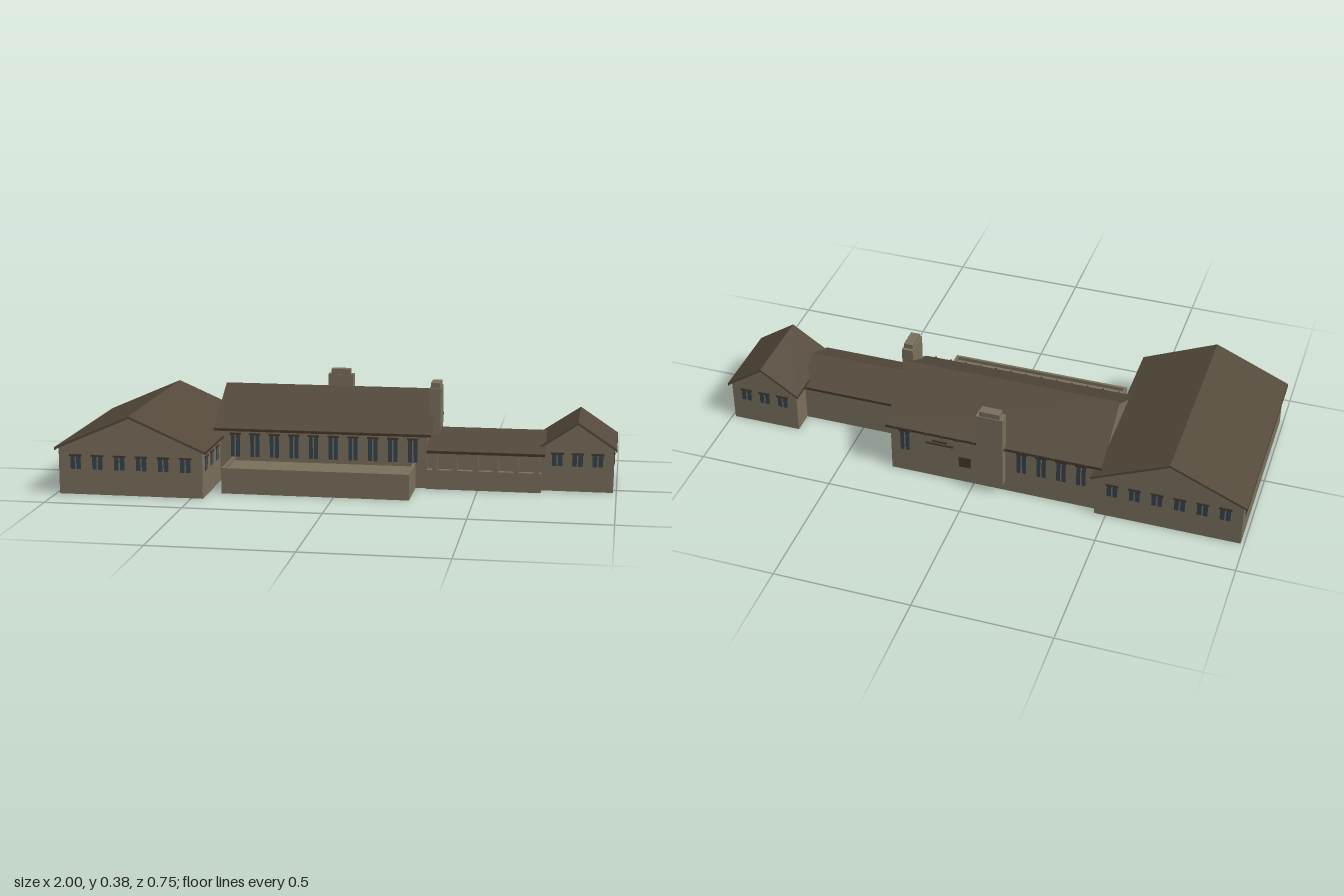
import * as THREE from 'three';

const mat = (name, color, side = THREE.FrontSide) => {
  const m = new THREE.MeshStandardMaterial({ color, side });
  m.name = name;
  return m;
};

export function createModel() {
  const root = new THREE.Group();
  root.name = 'longHouse';
  const wall = mat('stoneWall', 0x7b705d, THREE.DoubleSide);
  const roofMat = mat('roofTile', 0x54493b);
  const trim = mat('darkTrim', 0x44382c);
  const glass = mat('windowGlass', 0x36444e);

  const add = (parent, name, geo, material, x = 0, y = 0, z = 0) => {
    const m = new THREE.Mesh(geo, material);
    m.name = name;
    m.position.set(x, y, z);
    parent.add(m);
    return m;
  };
  // box given by its minimum and maximum corners
  const box = (parent, name, material, x0, x1, y0, y1, z0, z1) =>
    add(parent, name, new THREE.BoxGeometry(x1 - x0, y1 - y0, z1 - z0), material,
      (x0 + x1) / 2, (y0 + y1) / 2, (z0 + z1) / 2);

  // gabled block, ridge along local z; walls are open below
  const T = 0.009;
  function wing({ name, x, z, turn = 0, half, roofHalf, z0, z1, over0, over1, ridge, eave, walls = true }) {
    const g = new THREE.Group();
    g.name = name;
    g.position.set(x, 0, z);
    g.rotation.y = turn;
    root.add(g);
    const slope = (ridge - eave) / roofHalf;
    const top = ridge - T;
    const wallTop = top - slope * half;
    if (walls) {
      const end = new THREE.ShapeGeometry(new THREE.Shape([
        new THREE.Vector2(-half, 0), new THREE.Vector2(half, 0), new THREE.Vector2(half, wallTop),
        new THREE.Vector2(0, top), new THREE.Vector2(-half, wallTop)]));
      add(g, 'gableWall', end, wall, 0, 0, z1);
      add(g, 'gableWall', end, wall, 0, 0, z0).geometry = end.clone().rotateY(Math.PI);
      for (const s of [-1, 1]) {
        add(g, 'sideWall', new THREE.PlaneGeometry(z1 - z0, wallTop).rotateY(s * Math.PI / 2),
          wall, s * half, wallTop / 2, (z0 + z1) / 2);
      }
    }
    // folded roof slab
    const a = z0 - over0, b = z1 + over1;
    const fold = new THREE.Shape([
      new THREE.Vector2(-roofHalf, eave - T), new THREE.Vector2(0, ridge - T),
      new THREE.Vector2(roofHalf, eave - T), new THREE.Vector2(roofHalf, eave),
      new THREE.Vector2(0, ridge), new THREE.Vector2(-roofHalf, eave)]);
    add(g, 'roof', new THREE.ExtrudeGeometry(fold, { depth: b - a, bevelEnabled: false }), roofMat, 0, 0, a);
    // eave boards
    for (const s of [-1, 1]) {
      add(g, 'eaveBoard', new THREE.BoxGeometry(0.004, T, b - a), trim,
        s * (roofHalf - 0.001), eave - T / 2 - 0.001, (a + b) / 2);
    }
    return g;
  }

  // two-pane window with a lintel; angle turns it from facing +z
  function windowAt(x, z, y0, y1, angle = 0, w = 0.038) {
    const g = new THREE.Group();
    g.name = 'window';
    g.position.set(x, 0, z);
    g.rotation.y = angle;
    root.add(g);
    box(g, 'panes', glass, -w / 2, w / 2, y0, y1, -0.002, 0.002);
    box(g, 'mullion', wall, -0.0025, 0.0025, y0, y1, -0.003, 0.003);
    box(g, 'lintel', trim, -w / 2 - 0.004, w / 2 + 0.004, y1 - 0.002, y1 + 0.005, -0.003, 0.005);
  }
  const Q = Math.PI / 2;

  // large west wing
  wing({ name: 'westWing', x: -0.7225, z: 0, half: 0.265, roofHalf: 0.2775, z0: -0.36, z1: 0.36,
    over0: 0.013, over1: 0.013, ridge: 0.294, eave: 0.173 });
  for (let i = 0; i < 6; i++) {
    const x = -0.925 + i * 0.081;
    windowAt(x, 0.36, 0.093, 0.142);
    windowAt(x, -0.36, 0.093, 0.142, Math.PI);
  }
  for (let i = 0; i < 8; i++) {
    const z = 0.3 - i * 0.085;
    windowAt(-0.9875, z, 0.093, 0.142, -Q);
    if (i < 3) windowAt(-0.4575, z, 0.093, 0.142, Q);
  }

  // central hall
  wing({ name: 'hall', x: 0, z: -0.131, turn: Q, half: 0.206, roofHalf: 0.22, z0: -0.46, z1: 0.315,
    over0: 0.017, over1: 0.015, ridge: 0.335, eave: 0.203 });
  for (let i = 0; i < 10; i++) {
    const x = -0.4 + i * 0.0735;
    windowAt(x, 0.075, 0.095, 0.18, 0, 0.034);
    if (x < -0.14 || x > 0.2) windowAt(x, -0.337, 0.095, 0.18, Math.PI, 0.034);
  }
  windowAt(0.315, -0.281, 0.093, 0.18, Q, 0.034);
  // rafter tails under both eaves
  for (let i = 0; i < 13; i++) {
    const x = -0.42 + i * 0.0595;
    box(root, 'rafterTail', trim, x - 0.003, x + 0.003, 0.196, 0.203, 0.073, 0.095);
    box(root, 'rafterTail', trim, x - 0.003, x + 0.003, 0.196, 0.203, -0.359, -0.335);
  }
  // back door and small ledges
  box(root, 'backDoor', trim, 0.01, 0.055, 0.07, 0.112, -0.342, -0.335);
  box(root, 'ledge', trim, 0.075, 0.18, 0.148, 0.154, -0.344, -0.335);
  box(root, 'ledge', trim, 0.1, 0.155, 0.16, 0.166, -0.342, -0.335);

  // raised terrace with a low rim
  const terrace = new THREE.Group();
  terrace.name = 'terrace';
  root.add(terrace);
  box(terrace, 'frontRim', wall, -0.41, 0.273, 0, 0.094, 0.26, 0.27);
  box(terrace, 'sideRim', wall, -0.41, -0.4, 0, 0.094, 0.075, 0.26);
  box(terrace, 'sideRim', wall, 0.263, 0.273, 0, 0.094, 0.075, 0.26);
  box(terrace, 'terraceFloor', wall, -0.4, 0.263, 0.075, 0.08, 0.075, 0.26);

  // low link with an open front gallery
  const link = wing({ name: 'linkRoof', x: 0, z: -0.035, turn: Q, half: 0.12, roofHalf: 0.13, z0: 0.315, z1: 0.73,
    over0: 0, over1: 0.013, ridge: 0.21, eave: 0.146, walls: false });
  link.name = 'link';
  box(root, 'linkBackWall', wall, 0.315, 0.735, 0, 0.142, -0.157, -0.153);
  box(root, 'galleryBackWall', wall, 0.315, 0.735, 0.07, 0.145, 0.06, 0.064);
  box(root, 'galleryParapet', wall, 0.315, 0.73, 0, 0.072, 0.063, 0.085);
  box(root, 'galleryBeam', wall, 0.315, 0.73, 0.132, 0.141, 0.065, 0.085);
  for (let i = 0; i < 6; i++) {
    const x = 0.344 + i * 0.0735;
    box(root, 'galleryPost', wall, x - 0.01, x + 0.01, 0.072, 0.135, 0.067, 0.085);
  }

  // small east wing
  wing({ name: 'eastWing', x: 0.858, z: 0, half: 0.13, roofHalf: 0.14, z0: -0.24, z1: 0.04,
    over0: 0.014, over1: 0.013, ridge: 0.258, eave: 0.164 });
  for (let i = 0; i < 3; i++) {
    windowAt(0.785 + i * 0.073, 0.04, 0.093, 0.138);
    windowAt(0.785 + i * 0.073, -0.24, 0.093, 0.138, Math.PI);
    windowAt(0.988, -0.018 - i * 0.082, 0.093, 0.138, Q);
  }

  // chimneys with narrower caps
  const chimney = (x0, x1, y0, y1, z0, z1, capY, inX, inZ) => {
    const g = new THREE.Group();
    g.name = 'chimney';
    root.add(g);
    box(g, 'stack', wall, x0, x1, y0, y1, z0, z1);
    box(g, 'cap', wall, x0 + inX, x1 - inX, y1, capY, z0 + inZ, z1 - inZ);
  };
  chimney(-0.12, -0.022, 0.047, 0.342, -0.373, -0.333, 0.362, 0.012, 0.003);
  chimney(0.312, 0.354, 0, 0.358, -0.1, 0, 0.376, 0.004, 0.012);

  return root;
}
